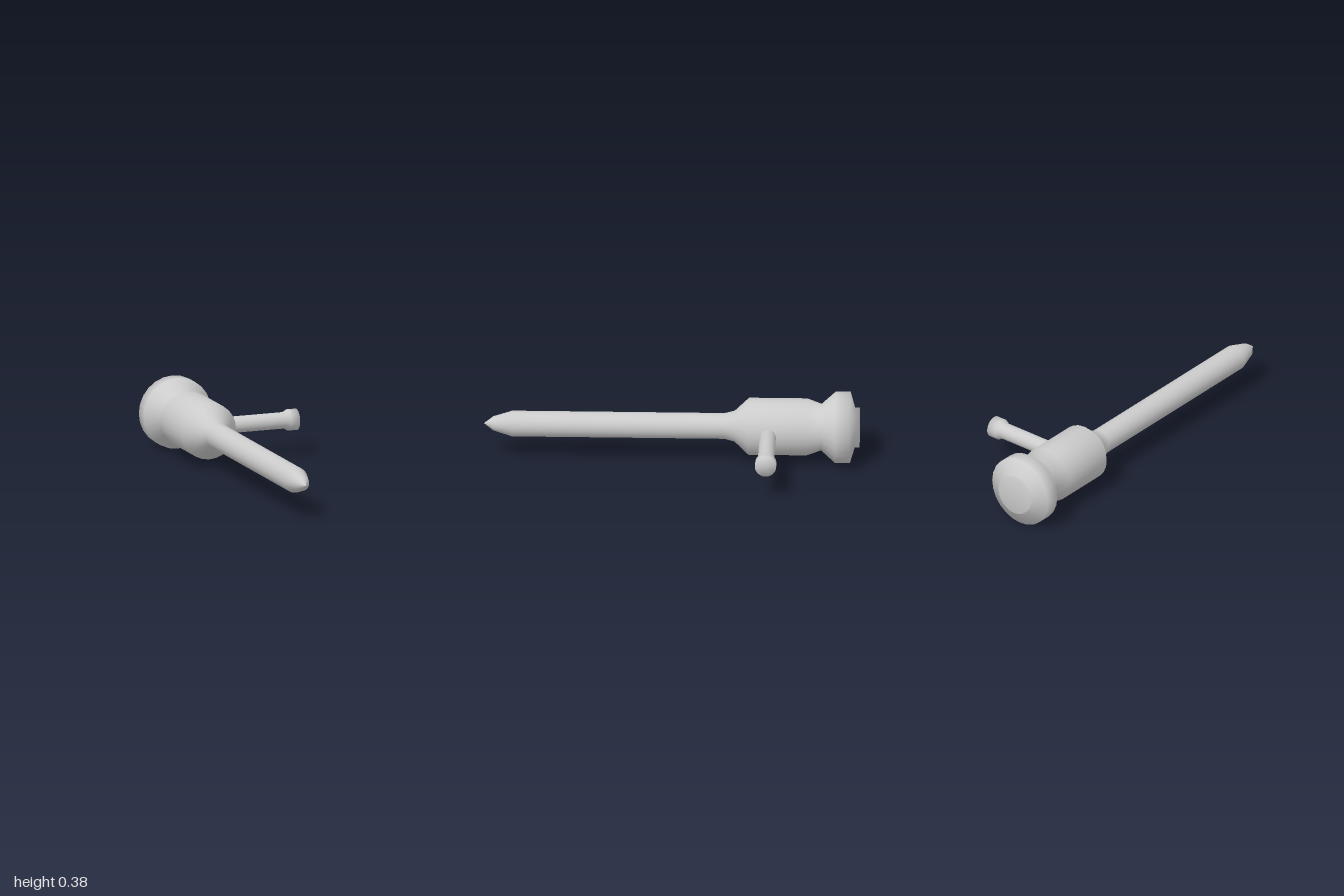
import * as THREE from 'three';

const material = new THREE.MeshStandardMaterial({ color: 0xcccccc });

// Smooth turned part from [radius, position along axis] pairs, listed in ascending position
function turned(name, profile, sides) {
  const points = profile.map(([r, t]) => new THREE.Vector2(r, t));
  const mesh = new THREE.Mesh(new THREE.LatheGeometry(points, sides), material);
  mesh.name = name;
  return mesh;
}

export function createModel() {
  const group = new THREE.Group();
  group.name = 'tubeWithSideStem';
  const axisX = -0.174, axisY = 0.194;

  // Flared rear cap, thick barrel and long pointed shaft, turned about z
  const body = turned('body', [
    [0, -1], [0.108, -1], [0.108, -0.975],   // rear boss
    [0.192, -0.95], [0.192, -0.872],         // flared cap
    [0.125, -0.797],                         // neck
    [0.153, -0.72], [0.153, -0.41],          // barrel
    [0.083, -0.335], [0.069, -0.28],         // shoulder
    [0.069, 0.85], [0.038, 0.95], [0, 1],    // shaft and tip
  ], 24);
  body.rotation.x = Math.PI / 2;
  body.position.set(axisX, axisY, 0);
  group.add(body);

  // Side stem with a wider end, pointing to the left
  const stem = turned('sideStem', [
    [0, -0.1], [0.044, -0.1], [0.044, 0.288],
    [0.057, 0.313], [0.057, 0.364], [0, 0.364],
  ], 24);
  stem.rotation.z = -Math.PI / 2;
  stem.position.set(0, axisY, -0.515);
  group.add(stem);

  return group;
}
